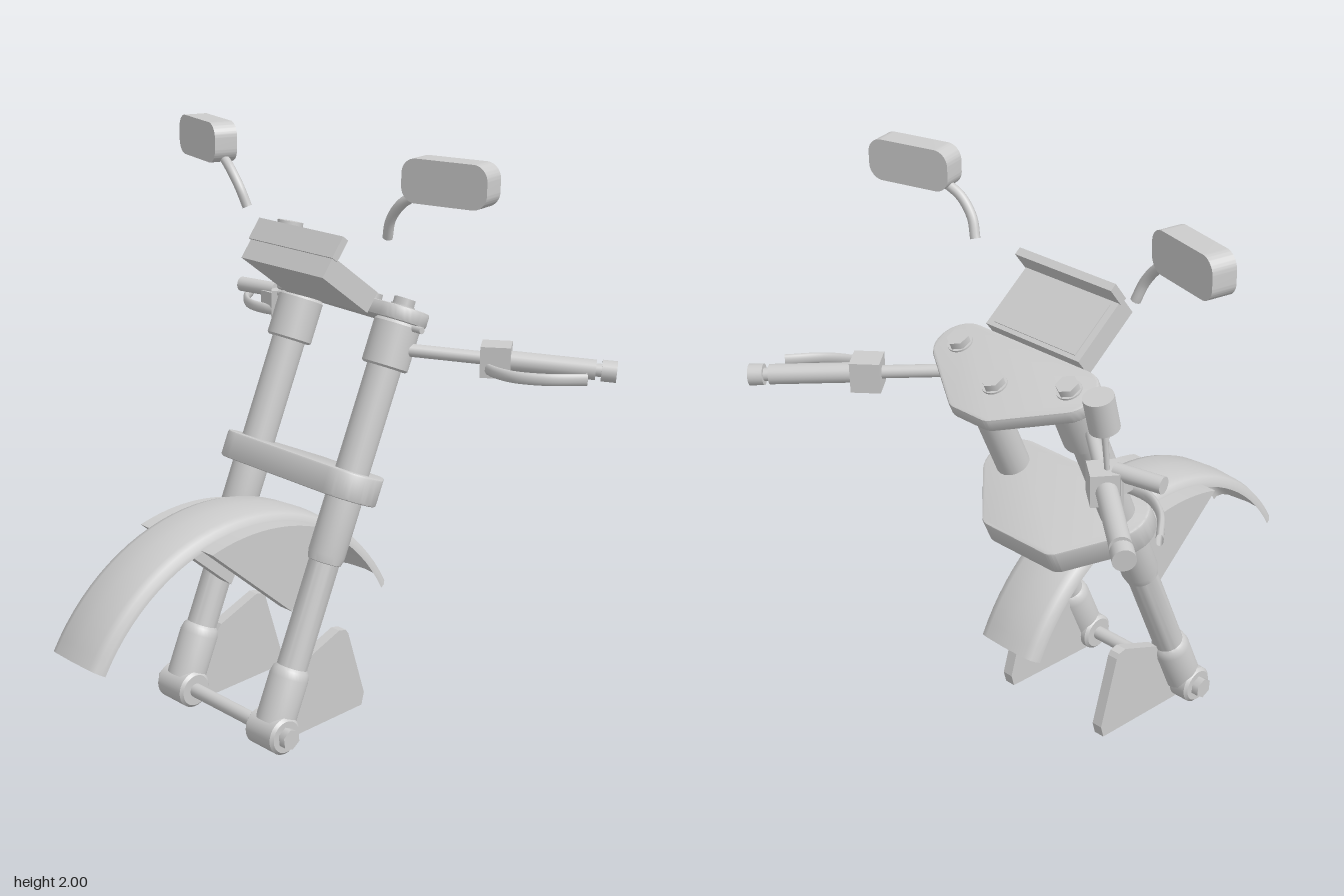
import * as THREE from 'three';
import { toCreasedNormals } from 'three/addons/utils/BufferGeometryUtils.js';

const AXLE_Y = 0.07, AXLE_Z = 0.18, RAKE = -0.394, FORK_X = 0.243;
const V = (x, y, z) => new THREE.Vector3(x, y, z);

export function createModel() {
  const model = new THREE.Group();
  model.name = 'motorcycleFrontEnd';
  const grey = new THREE.MeshStandardMaterial({ color: 0xcccccc, side: THREE.DoubleSide });
  grey.name = 'lightGrey';

  const add = (parent, name, geo, x = 0, y = 0, z = 0) => {
    const m = new THREE.Mesh(geo, grey);
    m.name = name;
    m.position.set(x, y, z);
    parent.add(m);
    return m;
  };
  // cylinder between two points
  const rod = (parent, name, a, b, r, sides = 24, r2 = r) => {
    const d = b.clone().sub(a);
    const m = add(parent, name, new THREE.CylinderGeometry(r2, r, d.length(), sides));
    m.position.copy(a).addScaledVector(d, 0.5);
    m.quaternion.setFromUnitVectors(V(0, 1, 0), d.normalize());
    return m;
  };
  const lathe = (pts, start, length) => toCreasedNormals(
    new THREE.LatheGeometry(pts.map(p => new THREE.Vector2(...p)), 32, start, length), 0.6);
  const tube = (pts, r) => new THREE.TubeGeometry(new THREE.CatmullRomCurve3(pts), 20, r, 10);
  // plate outlined in (z, y), centred on x
  const sidePlate = (shape, depth) => new THREE.ExtrudeGeometry(shape, { depth, bevelEnabled: false, curveSegments: 16 })
    .translate(0, 0, -depth / 2).rotateY(-Math.PI / 2);

  // raked fork: local y runs up the fork, local z points forward
  const fork = new THREE.Group();
  fork.name = 'fork';
  fork.position.set(0, AXLE_Y, AXLE_Z);
  fork.rotation.x = RAKE;
  model.add(fork);

  const legProfile = [[0, 0.03], [0.068, 0.03], [0.068, 0.19], [0.062, 0.215], [0.053, 0.225], [0.053, 0.595],
    [0.058, 0.597], [0.064, 0.625], [0.064, 0.83], [0.059, 0.83], [0.059, 1.28]];
  const collarProfile = [[0.055, 1.28], [0.073, 1.28], [0.08, 1.287], [0.08, 1.43], [0.073, 1.44], [0, 1.44]];
  const endProfile = [[0, -0.072], [0.056, -0.072], [0.066, -0.062], [0.066, 0.062], [0.056, 0.072], [0, 0.072]];
  for (const s of [-1, 1]) {
    add(fork, 'forkLeg', lathe(legProfile), s * FORK_X);
    add(fork, 'handlebarCollar', lathe(collarProfile), s * FORK_X);
    add(fork, 'axleHolder', lathe(endProfile).rotateZ(Math.PI / 2), s * FORK_X);
    rod(fork, 'axleNut', V(s * 0.31, 0, 0), V(s * 0.342, 0, 0), 0.037, 6);
    rod(fork, 'pinchBolt', V(s * 0.28, 1.43, 0), V(s * 0.36, 1.43, 0), 0.012, 10);
  }
  rod(fork, 'axle', V(-0.3, 0, 0), V(0.3, 0, 0), 0.025);

  // triple clamps: rounded around the legs, narrowing to the back
  const clamp = (r, bx, by, br, depth) => {
    const a = Math.atan2(FORK_X - bx, by) + Math.asin((r - br) / Math.hypot(FORK_X - bx, by));
    const s = new THREE.Shape();
    s.moveTo(-FORK_X, -r);
    s.lineTo(FORK_X, -r);
    s.absarc(FORK_X, 0, r, -Math.PI / 2, a);
    s.absarc(bx, by, br, a, Math.PI / 2);
    s.absarc(-bx, by, br, Math.PI / 2, Math.PI - a);
    s.absarc(-FORK_X, 0, r, Math.PI - a, Math.PI * 1.5);
    const b = 0.008;
    const g = new THREE.ExtrudeGeometry(s, { depth: depth - 2 * b, bevelSize: b, bevelOffset: -b,
      bevelThickness: b, bevelSegments: 2, curveSegments: 12 });
    return toCreasedNormals(g.translate(0, 0, b).rotateX(-Math.PI / 2), 0.6);
  };
  add(fork, 'lowerClamp', clamp(0.11, 0.13, 0.195, 0.06, 0.095), 0, 0.82, 0);
  add(fork, 'upperClamp', clamp(0.095, 0.06, 0.165, 0.06, 0.05), 0, 1.44, 0);
  for (const [x, z] of [[-FORK_X, 0], [FORK_X, 0], [0, -0.09]]) {
    rod(fork, 'clampBoltWasher', V(x, 1.485, z), V(x, 1.496, z), 0.042);
    rod(fork, 'clampBolt', V(x, 1.49, z), V(x, 1.52, z), 0.038, 6);
  }

  // instrument box with a raised visor at its front edge
  const dash = new THREE.Group();
  dash.name = 'instrument';
  dash.position.set(0, 1.544, -0.188);
  dash.rotation.x = -0.635;
  model.add(dash);
  add(dash, 'instrumentBox', new THREE.BoxGeometry(0.41, 0.078, 0.25));
  add(dash, 'instrumentScreen', new THREE.BoxGeometry(0.36, 0.006, 0.2), 0, 0.04, -0.01);
  add(dash, 'instrumentVisor', new THREE.BoxGeometry(0.42, 0.08, 0.028), 0, 0.072, 0.118);

  // mudguard: thin arched shell around the axle
  const rad = Math.PI / 180;
  const guard = lathe([[0.688, -0.13], [0.705, -0.128], [0.722, -0.114], [0.73, -0.09], [0.736, 0],
    [0.73, 0.09], [0.722, 0.114], [0.705, 0.128], [0.688, 0.13]], 29 * rad, 123 * rad);
  add(model, 'mudguard', guard.rotateZ(Math.PI / 2), 0, AXLE_Y, AXLE_Z);

  // mudguard stays and rear fins on both sides
  const stay = new THREE.Shape();
  stay.absarc(AXLE_Z, AXLE_Y, 0.7, 72.4 * rad, 113 * rad);
  stay.lineTo(0.05, 0.45);
  const fin = new THREE.Shape([[0.156, 0.008], [-0.235, 0.035], [-0.246, 0.08], [-0.167, 0.326], [-0.155, 0.342],
    [-0.124, 0.347], [0.04, 0.275], [0.18, 0.09]].map(p => new THREE.Vector2(...p)));
  for (const s of [-1, 1]) {
    add(model, 'mudguardStay', sidePlate(stay, 0.062), s * 0.161);
    add(model, 'fin', sidePlate(fin, 0.04), s * 0.22);
  }

  // handlebars and mirrors
  const a = V(0.25, 1.32, -0.315), b = V(0.84, 1.274, -0.793);
  const at = (t, s) => a.clone().lerp(b, t).multiply(V(s, 1, 1));
  const headShape = new THREE.Shape();
  const hw = 0.152, hh = 0.07, hr = 0.05;
  headShape.absarc(hw - hr, hh - hr, hr, 0, Math.PI / 2);
  headShape.absarc(hr - hw, hh - hr, hr, Math.PI / 2, Math.PI);
  headShape.absarc(hr - hw, hr - hh, hr, Math.PI, Math.PI * 1.5);
  headShape.absarc(hw - hr, hr - hh, hr, Math.PI * 1.5, Math.PI * 2);
  const head = toCreasedNormals(new THREE.ExtrudeGeometry(headShape, { depth: 0.085, bevelEnabled: false })
    .translate(0, 0, -0.0425), 0.6);
  for (const s of [-1, 1]) {
    rod(model, 'handlebar', at(0, s), at(0.98, s), 0.022);
    rod(model, 'grip', at(0.53, s), at(0.91, s), 0.034);
    rod(model, 'barEnd', at(0.935, s), at(1, s), 0.036);
    const box = add(model, 'switchBox', new THREE.BoxGeometry(0.1, 0.105, 0.1));
    box.position.copy(at(0.48, s));
    box.rotation.y = s * 0.68;
    const lever = add(model, 'lever', tube([V(0.53, 0, -0.5), V(0.58, 0, -0.485), V(0.66, 0, -0.488),
      V(0.75, 0, -0.54), V(0.84, 0, -0.645)].map(p => p.multiply(V(s, 1, 1))), 0.012), 0, 1.275, 0);
    lever.scale.y = 1.7;

    const mirror = add(model, 'mirrorHead', head, s * 0.597, 1.93, -0.238);
    mirror.rotation.y = s * 0.25;
    add(model, 'mirrorStalk', tube([V(s * 0.35, 1.722, -0.212), V(s * 0.375, 1.785, -0.2),
      V(s * 0.425, 1.845, -0.2), V(s * 0.49, 1.885, -0.215)], 0.017));
  }

  // fluid reservoir and brake cylinder on the right bar
  rod(model, 'reservoir', V(-0.535, 1.485, -0.547), V(-0.535, 1.598, -0.574), 0.048);
  rod(model, 'reservoirStem', V(-0.545, 1.33, -0.545), V(-0.535, 1.49, -0.548), 0.008, 10, 0.011);
  rod(model, 'brakeCylinder', V(-0.72, 1.342, -0.493), V(-0.56, 1.342, -0.525), 0.027);
  add(model, 'cylinderMount', new THREE.BoxGeometry(0.07, 0.06, 0.06), -0.565, 1.31, -0.515);
  return model;
}
